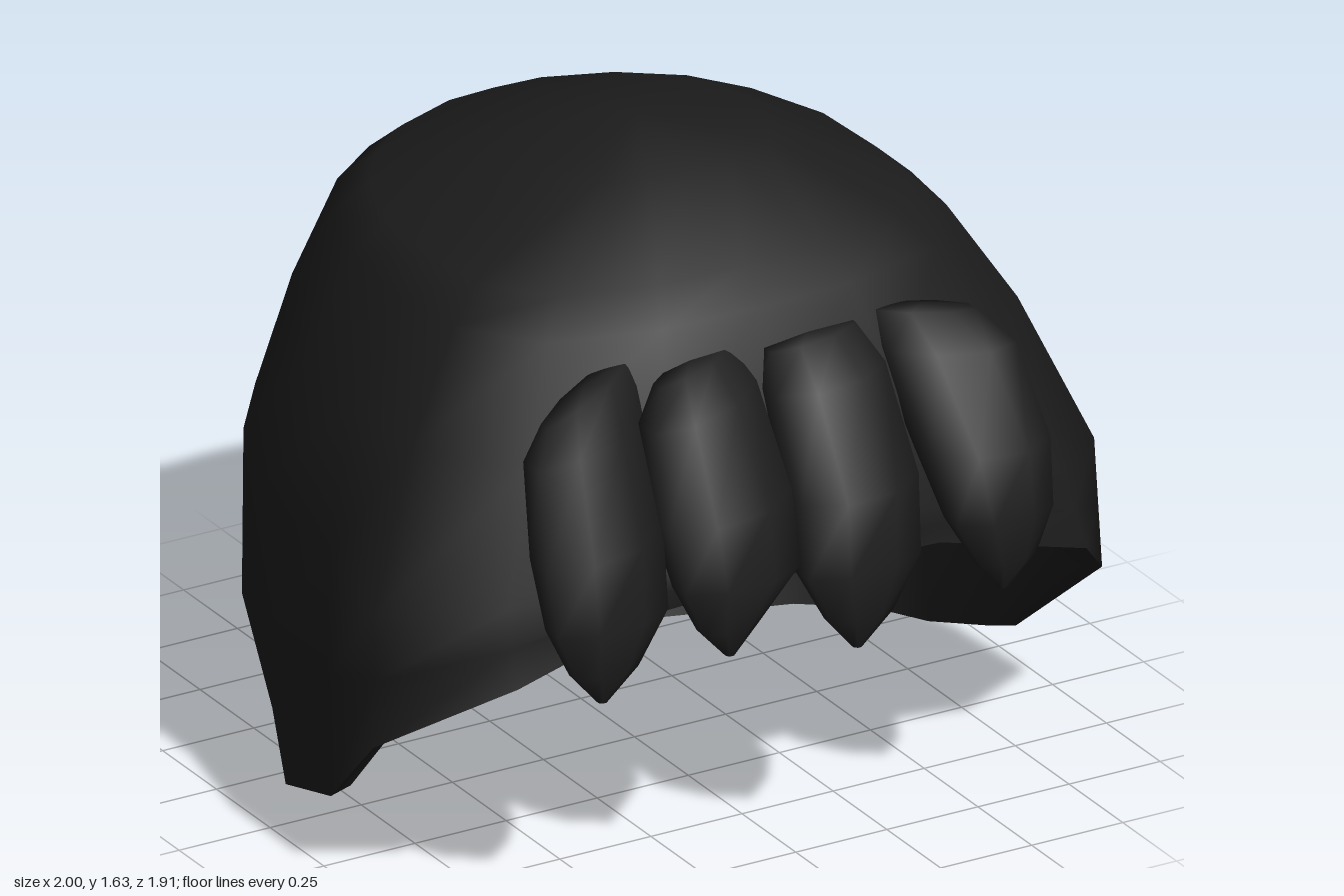
import * as THREE from 'three';
import { mergeVertices } from 'three/addons/utils/BufferGeometryUtils.js';

const hairBlack = new THREE.MeshStandardMaterial({ color: 0x1c1c1c });
hairBlack.name = 'hairBlack';

// Skin a stack of closed rings, listed low to high, each running counterclockwise from above
function loft(name, rings) {
  const n = rings[0].length, index = [];
  for (let r = 0; r < rings.length - 1; r++) {
    for (let c = 0; c < n; c++) {
      const d = (c + 1) % n;
      const a = r * n + c, b = r * n + d, e = a + n, f = b + n;
      index.push(a, b, f, a, f, e);
    }
  }
  let geo = new THREE.BufferGeometry();
  geo.setAttribute('position', new THREE.Float32BufferAttribute(rings.flat(2), 3));
  geo.setIndex(index);
  geo = mergeVertices(geo, 1e-4);
  geo.computeVertexNormals();
  const mesh = new THREE.Mesh(geo, hairBlack);
  mesh.name = name;
  return mesh;
}

// Complete a half ring (front centre to back centre) with its mirror image
const mirrorRing = (half) => [
  ...half,
  ...half.slice(1, -1).reverse().map(([x, y, z]) => [-x, y, z]),
];

// Lower edge: arched over the face, dropping to the nape
const rim = mirrorRing([
  [0, 0.75, 0.79], [0.38, 0.73, 0.78], [0.78, 0.62, 0.78], [1, 0.4, 0.48],
  [0.94, 0.14, 0.18], [0.91, 0.06, -0.08], [0.83, 0.06, -0.22], [0.67, 0.06, -0.34],
  [0.36, 0.04, -0.48], [0.18, 0.02, -0.55], [0, 0, -0.58],
]);

// Widest ring of the cap
const girth = mirrorRing([
  [0, 0.83, 0.8], [0.36, 0.83, 0.79], [0.76, 0.79, 0.7], [0.99, 0.73, 0.46],
  [0.92, 0.75, 0.14], [0.91, 0.78, -0.22], [0.79, 0.8, -0.48], [0.64, 0.8, -0.68],
  [0.44, 0.8, -0.84], [0.2, 0.8, -0.94], [0, 0.8, -0.95],
]);

// Ring halfway up the sides, bulging at the back corners
const bulges = [0, 0, 0, 0, 0.01, 0.03, 0.06, 0.06, 0.05, 0.02, 0];
const lower = rim.map((p, i) => {
  const bulge = 1 + bulges[Math.min(i, rim.length - i)];
  const [x, y, z] = p.map((v, k) => (v + girth[i][k]) / 2);
  return [x * bulge, y, z * bulge];
});

// Rounder outline that the crown rings are scaled from
const crownOutline = mirrorRing([
  [0, 0, 0.8], [0.36, 0, 0.79], [0.74, 0, 0.69], [0.94, 0, 0.42],
  [0.97, 0, 0.14], [0.95, 0, -0.2], [0.83, 0, -0.5], [0.68, 0, -0.7],
  [0.46, 0, -0.85], [0.2, 0, -0.94], [0, 0, -0.95],
]);

// Crown rings: height, scale of the outline, scale of its back half in x and z
const crown = [
  [1.1, 0.885, 0.85, 0.875], [1.35, 0.72, 0.72, 0.79], [1.43, 0.63, 0.63, 0.69],
  [1.585, 0.32, 0.32, 0.32], [1.63, 0, 0, 0],
].map(([y, s, backX, backZ]) => crownOutline.map(([x, , z]) =>
  z < 0 ? [x * backX, y, z * backZ] : [x * s, y, z * s]));

// Locks of the fringe: tip [x, y], sideways slant in depth, left and right edges upward
const locks = [
  { tip: [-0.62, 0.6], slant: -0.5, edges: [[-0.7, -0.53], [-0.75, -0.44], [-0.755, -0.41], [-0.72, -0.36], [-0.66, -0.34]] },
  { tip: [-0.27, 0.64], slant: -0.35, edges: [[-0.35, -0.2], [-0.4, -0.08], [-0.42, -0.06], [-0.39, -0.055], [-0.33, -0.09]] },
  { tip: [0.08, 0.58], slant: -0.12, edges: [[0.0, 0.17], [-0.06, 0.25], [-0.05, 0.28], [-0.04, 0.28], [-0.01, 0.24]] },
  { tip: [0.48, 0.64], slant: 0.3, edges: [[0.41, 0.56], [0.35, 0.61], [0.32, 0.63], [0.3, 0.61], [0.31, 0.54]] },
];

// Lock levels: fraction of height, centre z, half depth
const lockLevels = [[0.12, 0.9, 0.045], [0.3, 0.88, 0.075], [0.55, 0.81, 0.105], [0.88, 0.67, 0.09], [1, 0.62, 0.04]];

function octagon(x, y, z, halfX, halfZ, slant) {
  const k = 1 / Math.cos(Math.PI / 8);
  return Array.from({ length: 8 }, (_, i) => {
    const a = (i + 0.5) * Math.PI / 4;
    const dx = Math.sin(a) * halfX * k, shift = dx * slant;
    return [x + dx, y - 0.3 * shift, z + Math.cos(a) * halfZ * k + shift];
  });
}

function makeLock({ tip: [tx, ty], slant, edges }) {
  const rings = [octagon(tx, ty, 0.9, 0, 0, 0), octagon(tx, ty, 0.9, 0.012, 0.012, 0)];
  lockLevels.forEach(([t, z, depth], i) => {
    const [l, r] = edges[i];
    rings.push(octagon((l + r) / 2, ty + (1.27 - ty) * t, z, (r - l) / 2, depth, slant * t * t));
  });
  const [l, r] = edges[4];
  rings.push(octagon((l + r) / 2, 1.275, 0.61, 0, 0, 0));
  return loft('fringeLock', rings);
}

export function createModel() {
  const model = new THREE.Group();
  model.name = 'hair';

  // Outer cap
  model.add(loft('hairCap', [rim, lower, girth, ...crown]));

  // Hollow lining, listed from crown to rim so that it faces inward, with a soft lip
  const inset = ([x, y, z]) => [x * 0.935, 0.7 + (y - 0.7) * 0.94, z * 0.945];
  const innerRim = rim.map(([x, y, z]) => [x * 0.935, y + 0.01, z * 0.945]);
  const inner = [lower, girth, ...crown].map((ring) => ring.map(inset));
  model.add(loft('capLining', [...inner.reverse(), innerRim, rim]));

  // Fringe
  const fringe = new THREE.Group();
  fringe.name = 'fringe';
  locks.forEach((lock) => fringe.add(makeLock(lock)));
  model.add(fringe);
  return model;
}
